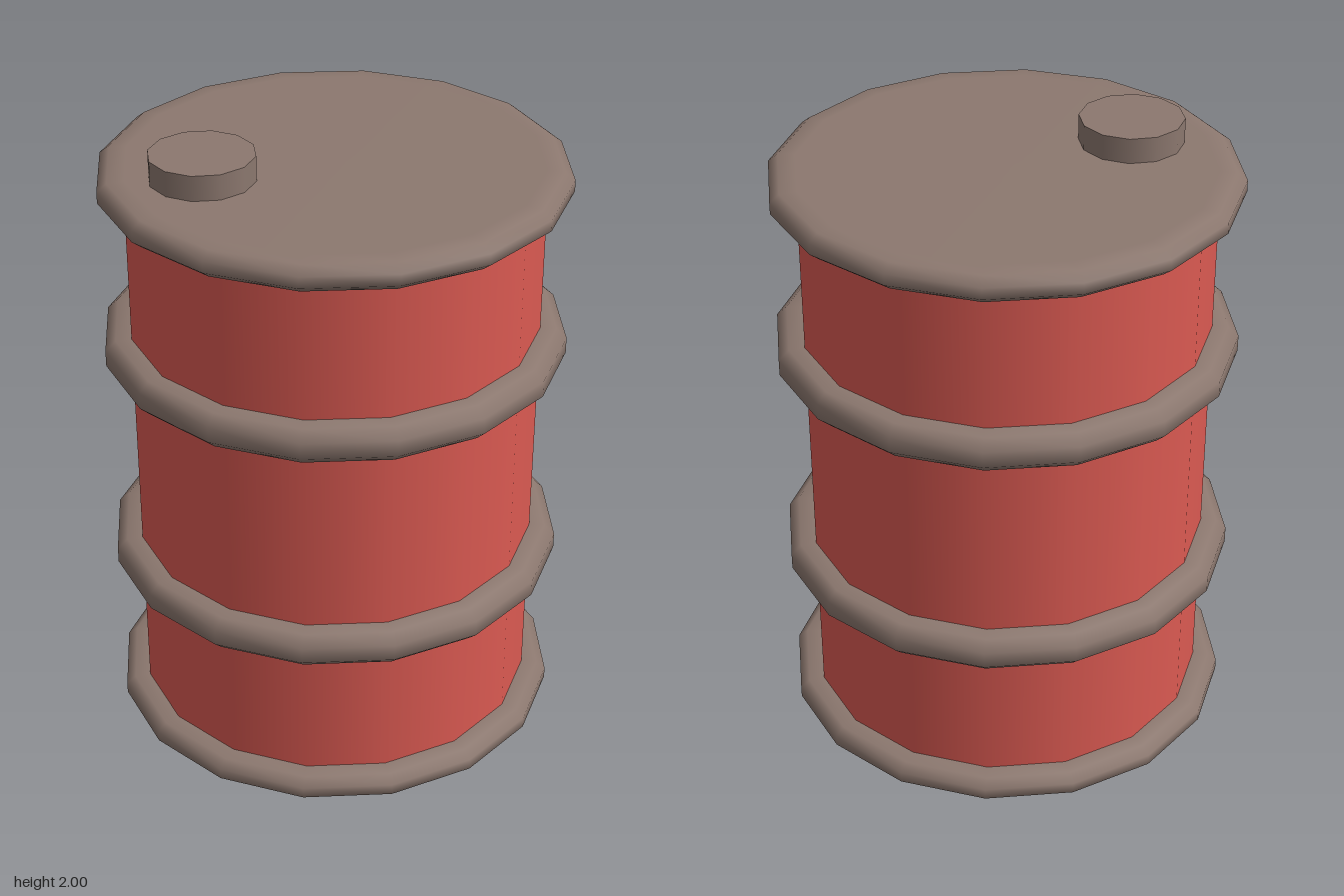
import * as THREE from 'three';

const SIDES = 16;

export function createModel() {
  const red = new THREE.MeshStandardMaterial({ color: 0xdb5a52 });
  red.name = 'red paint';
  const grey = new THREE.MeshStandardMaterial({ color: 0x8c786f });
  grey.name = 'brown grey metal';

  const group = new THREE.Group();
  group.name = 'barrel';

  const add = (name, geometry, material, x, y, z) => {
    const mesh = new THREE.Mesh(geometry, material);
    mesh.name = name;
    mesh.position.set(x, y, z);
    group.add(mesh);
  };
  // Revolved profile, listed from bottom to top
  const lathe = (points) =>
    new THREE.LatheGeometry(points.map(([r, y]) => new THREE.Vector2(r, y)), SIDES);

  // Drum wall
  add('body', new THREE.CylinderGeometry(0.645, 0.645, 1.82, SIDES, 1, true), red, 0, 0.96, 0);

  // Bevelled hoops around the wall
  const hoop = lathe([
    [0.635, -0.057], [0.695, -0.057], [0.728, -0.026],
    [0.728, 0.026], [0.695, 0.057], [0.635, 0.057],
  ]);
  add('lowerHoop', hoop, grey, 0, 0.593, 0);
  add('upperHoop', hoop, grey, 0, 1.33, 0);

  // Closed end discs with a soft rim
  const end = lathe([
    [0, -0.044], [0.64, -0.044], [0.695, -0.042], [0.725, -0.018],
    [0.725, 0.018], [0.695, 0.042], [0.64, 0.044], [0, 0.044],
  ]);
  add('base', end, grey, 0, 0.044, 0);
  add('lid', end, grey, 0, 1.876, 0);

  // Filler plug
  add('plug', new THREE.CylinderGeometry(0.163, 0.163, 0.1, 12), grey, -0.368, 1.95, 0.19);

  return group;
}
